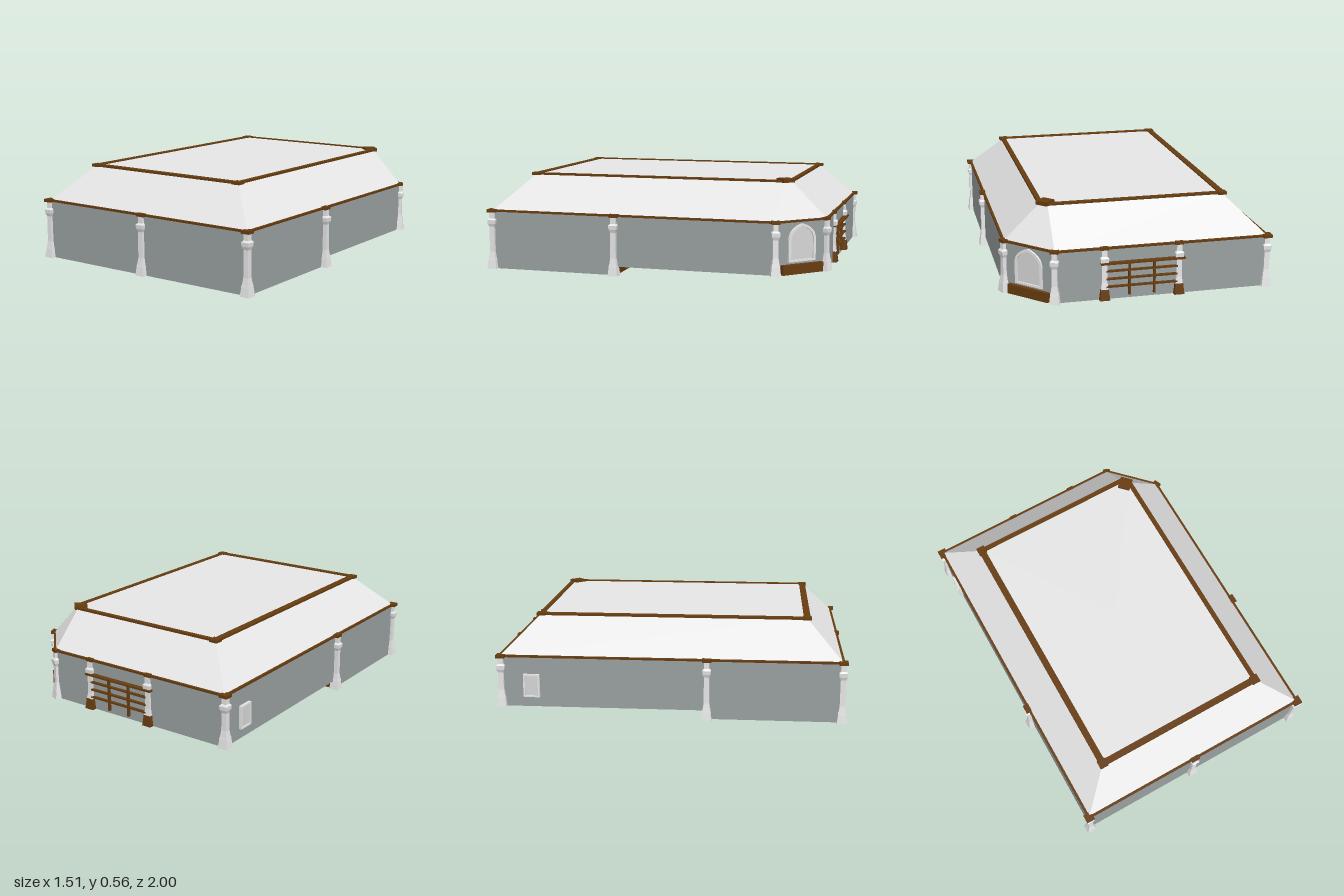
import * as THREE from 'three';

const mat = (name, color) => {
  const m = new THREE.MeshStandardMaterial({ color });
  m.name = name;
  return m;
};

export function createModel() {
  const root = new THREE.Group();
  root.name = 'hall';
  const white = mat('white plaster', 0xe6e6e6);
  const wall = mat('grey wall', 0x99a0a0);
  const wood = mat('brown wood', 0x663c10);
  const floor = mat('dark floor', 0x462a0a);
  const pane = mat('light pane', 0xd6d6d6);

  const add = (name, geo, material, x = 0, y = 0, z = 0, parent = root) => {
    const m = new THREE.Mesh(geo, material);
    m.name = name;
    m.position.set(x, y, z);
    parent.add(m);
    return m;
  };
  const box = (name, w, h, d, material, x, y, z, parent) =>
    add(name, new THREE.BoxGeometry(w, h, d), material, x, y, z, parent);
  // square tapered block with flat faces, standing on y
  const taper = (name, wb, wt, y0, y1, material, parent) => {
    const g = new THREE.CylinderGeometry(wt / Math.SQRT2, wb / Math.SQRT2, y1 - y0, 4)
      .rotateY(Math.PI / 4).toNonIndexed();
    g.computeVertexNormals();
    return add(name, g, material, 0, (y0 + y1) / 2, 0, parent);
  };
  const beam = (name, [x0, z0], [x1, z1], w, h, y) => {
    const b = box(name, Math.hypot(x1 - x0, z1 - z0), h, w, wood, (x0 + x1) / 2, y, (z0 + z1) / 2);
    b.rotation.y = -Math.atan2(z1 - z0, x1 - x0);
  };

  // footprint with one cut corner, and the smaller roof top, as x,z pairs
  const outer = [[-0.72, 0.97], [0.72, 0.97], [0.72, -0.725], [0.48, -0.97], [-0.72, -0.97]];
  const inner = [[-0.515, 0.77], [0.515, 0.77], [0.515, -0.73], [0.48, -0.765], [-0.515, -0.765]];
  const EAVE = 0.345, TOP = 0.55, STEP = 0.05, STEPZ = 0.2;

  // walls, with the raised rear floor and the lower front floor
  const plan = new THREE.Shape(outer.map(([x, z]) => new THREE.Vector2(x, -z)));
  add('walls', new THREE.ExtrudeGeometry(plan, { depth: EAVE - STEP, bevelEnabled: false })
    .rotateX(-Math.PI / 2), [floor, wall], 0, STEP, 0);
  box('lowerFront', 1.44, STEP, 0.97 - STEPZ, [wall, wall, wall, floor, wall, wood],
    0, STEP / 2, (0.97 + STEPZ) / 2);

  // sloped roof with flat top
  const pos = [];
  outer.forEach((a, i) => {
    const j = (i + 1) % outer.length, b = outer[j], c = inner[j], d = inner[i];
    const P = ([x, z], y) => [x, y, z];
    pos.push(...P(a, EAVE), ...P(b, EAVE), ...P(c, TOP), ...P(a, EAVE), ...P(c, TOP), ...P(d, TOP));
    pos.push(0, TOP, 0, ...P(d, TOP), ...P(c, TOP));
  });
  const roof = new THREE.BufferGeometry();
  roof.setAttribute('position', new THREE.Float32BufferAttribute(pos, 3));
  roof.computeVertexNormals();
  add('roof', roof, white);

  // eave and roof top beams
  outer.forEach((a, i) => beam('eaveBeam', a, outer[(i + 1) % 5], 0.016, 0.012, EAVE));
  inner.forEach((a, i) => beam('roofBeam', a, inner[(i + 1) % 5], i % 2 ? 0.028 : 0.038, 0.012, TOP));
  for (const i of [0, 1, 4]) box('roofCornerBlock', 0.05, 0.016, 0.05, wood, inner[i][0], TOP, inner[i][1]);
  box('largeRoofBlock', 0.075, 0.022, 0.075, wood, 0.487, TOP + 0.003, -0.733).rotation.y = Math.PI / 4;

  // columns: x, z, foot height, cap width, cap depth, turn
  const columns = [
    [-0.72, 0.97, 0, 0.05, 0.05, 0], [0.72, 0.97, 0, 0.05, 0.05, 0], [0, 0.972, 0, 0.052, 0.032, 0],
    [-0.728, 0.21, 0, 0.034, 0.052, 0], [0.728, 0.21, 0, 0.034, 0.052, 0],
    [-0.72, -0.965, STEP, 0.05, 0.05, 0],
    [0.72, -0.725, STEP, 0.034, 0.045, Math.PI / 8], [0.48, -0.965, STEP, 0.045, 0.034, -Math.PI / 8],
    [-0.21, -0.968, STEP, 0.045, 0.03, 0], [0.21, -0.968, STEP, 0.045, 0.03, 0],
  ];
  for (const [x, z, y, w, d, turn] of columns) {
    const c = new THREE.Group();
    c.name = 'column';
    c.position.set(x, 0, z);
    c.rotation.y = turn;
    root.add(c);
    const rear = Math.abs(x) === 0.21;
    taper('columnBase', 0.058, 0.046, y, y + 0.05, rear ? wood : white, c);
    taper('baseRing', 0.048, 0.044, y + 0.05, y + 0.062, rear ? wood : white, c);
    taper('baseNeck', 0.042, 0.031, y + 0.062, y + 0.1, white, c);
    taper('shaft', 0.031, 0.029, y + 0.1, EAVE, white, c);
    taper('capitalFlare', 0.03, 0.044, 0.25, 0.268, white, c);
    taper('capital', 0.044, 0.048, 0.268, 0.29, white, c);
    taper('capitalTop', 0.048, 0.03, 0.29, 0.3, white, c);
    box('eaveBlock', w, 0.018, d, wood, 0, EAVE, 0, c);
  }

  // arched window and bench on the cut corner
  const bay = new THREE.Group();
  bay.name = 'cornerBay';
  bay.position.set(0.6, 0, -0.8475);
  bay.rotation.y = Math.PI * 0.75;
  root.add(bay);
  const arch = (S, r, y0, y1) => {
    const s = new S();
    s.moveTo(-r, y0);
    s.lineTo(r, y0);
    s.lineTo(r, y1);
    s.quadraticCurveTo(r * 0.95, y1 + r * 0.75, 0, y1 + r);
    s.quadraticCurveTo(-r * 0.95, y1 + r * 0.75, -r, y1);
    return s;
  };
  const frame = arch(THREE.Shape, 0.09, 0.118, 0.24);
  frame.holes.push(arch(THREE.Path, 0.075, 0.13, 0.24));
  add('windowFrame', new THREE.ExtrudeGeometry(frame, { depth: 0.012, bevelEnabled: false }), white, 0, 0, 0, bay);
  add('windowPane', new THREE.ExtrudeGeometry(arch(THREE.Shape, 0.076, 0.129, 0.24),
    { depth: 0.004, bevelEnabled: false }), pane, 0, 0, 0, bay);
  box('windowBench', 0.27, 0.055, 0.03, wood, 0, 0.0785, 0.008, bay);

  // rear shelf rack
  box('topShelf', 0.47, 0.01, 0.03, wood, -0.005, 0.262, -0.985);
  for (const y of [0.215, 0.17, 0.125]) box('shelf', 0.4, 0.009, 0.018, wood, 0, y, -0.979);
  for (const x of [-0.07, 0.07]) box('shelfPost', 0.012, 0.19, 0.014, wood, x, 0.165, -0.978);

  // small framed panel on the side wall
  box('sidePanel', 0.012, 0.12, 0.08, pane, -0.724, 0.175, -0.79);
  for (const s of [-1, 1]) {
    box('panelUpright', 0.018, 0.13, 0.01, white, -0.727, 0.175, -0.79 + s * 0.042);
    box('panelRail', 0.018, 0.01, 0.09, white, -0.727, 0.175 + s * 0.062, -0.79);
  }

  // furniture feet showing under the floor
  const under = (w, d, x, z) => box('footPlate', w, 0.004, d, pane, x, z > STEPZ ? 0.001 : STEP, z);
  const tables = [[0.41, -0.41], [0.43, 0], [-0.12, -0.06], [-0.49, -0.06],
    [-0.31, 0.6], [-0.51, 0.4], [-0.52, 0.82]];
  for (const [x, z] of tables) {
    add('tableFoot', new THREE.CylinderGeometry(0.026, 0.026, 0.004, 12), pane, x, z > STEPZ ? 0.001 : STEP, z);
    for (const sx of [-1, 1]) for (const dx of [0.06, 0.09]) for (const dz of [-0.015, 0.015])
      under(0.009, 0.009, x + sx * dx, z + dz);
  }
  under(0.12, 0.13, 0.48, 0.35);
  under(0.14, 0.12, 0.455, 0.82);
  under(0.03, 0.13, 0.5, 0.54);
  under(0.1, 0.03, 0.45, 0.49);
  // counter outline
  for (const s of [-1, 1]) {
    under(0.5, 0.008, -0.02, -0.78 + s * 0.05);
    under(0.008, 0.1, -0.02 + s * 0.25, -0.78);
  }
  return root;
}
